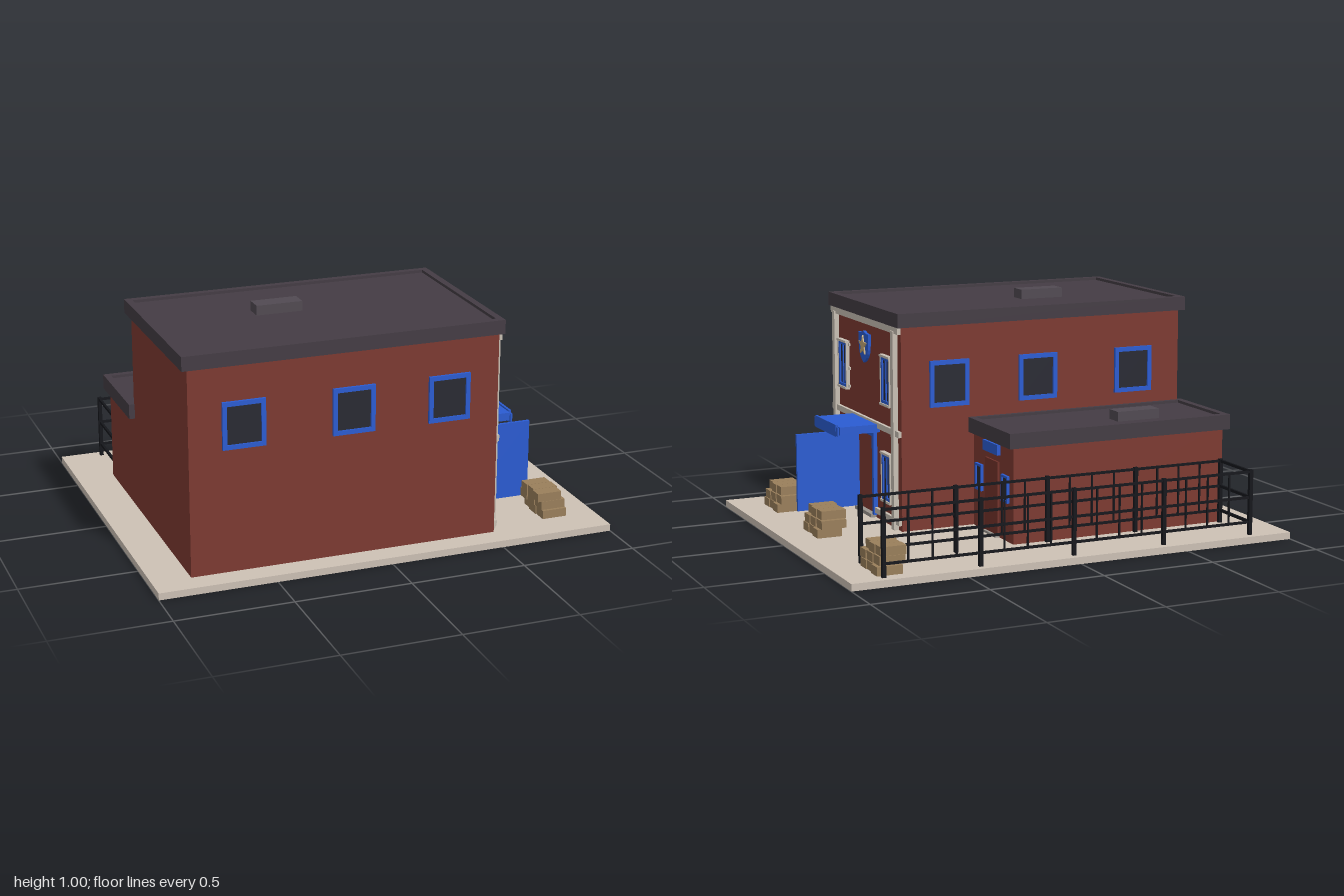
import * as THREE from 'three';

const mat = (color) => new THREE.MeshStandardMaterial({ color, flatShading: true });
const M = {
  brick: mat(0x7d3a31), door: mat(0x74332b), roof: mat(0x443c44), vent: mat(0x514a52),
  ground: mat(0xcdc1b5), trim: mat(0xc9c0b4), blue: mat(0x2b5cd2), glass: mat(0x292a33),
  metal: mat(0x15161b), crate: mat(0x9a7f5b), star: mat(0xc2a878), step: mat(0x9a948e),
};

// Box from its minimum and maximum corners
function box(parent, name, m, [x0, y0, z0], [x1, y1, z1]) {
  const mesh = new THREE.Mesh(new THREE.BoxGeometry(x1 - x0, y1 - y0, z1 - z0), m);
  mesh.position.set((x0 + x1) / 2, (y0 + y1) / 2, (z0 + z1) / 2);
  mesh.name = name;
  parent.add(mesh);
  return mesh;
}

function group(parent, name) {
  const g = new THREE.Group();
  g.name = name;
  parent.add(g);
  return g;
}

// Flat roof with a raised rim
function roof(parent, name, x0, x1, y0, y1, z0, z1) {
  const g = group(parent, name);
  const t = 0.03, lip = 0.012;
  box(g, 'roofSlab', M.roof, [x0 + t, y0, z0 + t], [x1 - t, y1 - lip, z1 - t]);
  box(g, 'rimFront', M.roof, [x0, y0, z1 - t], [x1, y1, z1]);
  box(g, 'rimBack', M.roof, [x0, y0, z0], [x1, y1, z0 + t]);
  box(g, 'rimLeft', M.roof, [x1 - t, y0, z0 + t], [x1, y1, z1 - t]);
  box(g, 'rimRight', M.roof, [x0, y0, z0 + t], [x0 + t, y1, z1 - t]);
}

// Window facing local +z, centred on its own origin
function windowUnit(parent, w, h, frame, { mullion = false, surround = false } = {}) {
  const g = group(parent, 'window');
  const a = w / 2, b = h / 2, d = 0.012;
  box(g, 'glass', M.glass, [-a + frame, -b + frame, -0.005], [a - frame, b - frame, 0.005]);
  for (const s of [-1, 1]) {
    const x = s * (a - frame / 2), y = s * (b - frame / 2);
    box(g, 'frameSide', M.blue, [x - frame / 2, -b, -0.005], [x + frame / 2, b, d]);
    box(g, 'frameRail', M.blue, [-a + frame, y - frame / 2, -0.005], [a - frame, y + frame / 2, d]);
    if (surround) {
      const ox = s * (a + 0.004), oy = s * (b + 0.005);
      box(g, 'surroundSide', M.trim, [ox - 0.004, -b, -0.005], [ox + 0.004, b, 0.014]);
      box(g, 'surroundSill', M.trim, [-a - 0.008, oy - 0.005, -0.005], [a + 0.008, oy + 0.005, 0.018]);
      // small blocks keyed into the brickwork
      for (const by of [-b, -0.02, b - 0.012])
        box(g, 'surroundBlock', M.trim, [s * (a + 0.014) - 0.007, by, -0.005], [s * (a + 0.014) + 0.007, by + 0.012, 0.004]);
    }
  }
  if (mullion) box(g, 'mullion', M.blue, [-0.005, -b + frame, 0], [0.005, b - frame, 0.01]);
  return g;
}

// Shield with a five-pointed star, facing +x
function wallBadge(parent) {
  const g = group(parent, 'wallBadge');
  const s = new THREE.Shape();
  s.moveTo(0, -0.07);
  s.quadraticCurveTo(0.056, -0.045, 0.056, 0.01);
  s.lineTo(0.06, 0.06);
  s.quadraticCurveTo(0.03, 0.057, 0, 0.07);
  s.quadraticCurveTo(-0.03, 0.057, -0.06, 0.06);
  s.lineTo(-0.056, 0.01);
  s.quadraticCurveTo(-0.056, -0.045, 0, -0.07);
  const star = new THREE.Shape();
  for (let i = 0; i < 10; i++) {
    const r = i % 2 ? 0.02 : 0.046, a = Math.PI / 2 + i * Math.PI / 5;
    star[i ? 'lineTo' : 'moveTo'](r * Math.cos(a), r * Math.sin(a) + 0.006);
  }
  const add = (name, shape, depth, m) => {
    const mesh = new THREE.Mesh(new THREE.ExtrudeGeometry(shape, { depth, bevelEnabled: false, curveSegments: 5 }), m);
    mesh.name = name;
    g.add(mesh);
  };
  add('shield', s, 0.015, M.blue);
  add('star', star, 0.021, M.star);
  g.rotation.y = Math.PI / 2;
  g.position.set(0.498, 0.775, 0.302);
}

// Three staggered layers of small blocks
function blockStack(parent, z, flip) {
  const g = group(parent, 'blockStack');
  const layers = [[0.755, -0.004, 0.064], [0.748, 0.007, 0.064], [0.738, -0.002, 0.058]];
  layers.forEach(([x, dz, w], i) => {
    const y = 0.03 + i * 0.038;
    for (let k = -1; k <= 1; k++) {
      const c = z + flip * dz + k * w, j = 0.004 * ((k + i + 3) % 3 - 1);
      box(g, 'block', M.crate, [x + j, y, c - w / 2 + 0.001], [x + 0.11 + j, y + 0.037, c + w / 2 - 0.001]);
    }
  });
}

function fence(parent) {
  const g = group(parent, 'fence');
  const x0 = -0.82, x1 = 0.85, zs = [-0.762, -0.515], rails = [0.085, 0.192, 0.303];
  for (const z of zs) {
    for (let i = 0; i <= 16; i++) {
      const x = x0 + (x1 - x0) * i / 16, post = i % 4 === 0, r = post ? 0.008 : 0.0035;
      box(g, post ? 'fencePost' : 'fenceBar', M.metal, [x - r, post ? 0.03 : 0.085, z - r], [x + r, post ? 0.312 : 0.303, z + r]);
    }
    for (const y of rails) box(g, 'fenceRail', M.metal, [x0, y - 0.005, z - 0.005], [x1, y + 0.005, z + 0.005]);
  }
  for (const y of rails) box(g, 'fenceEndRail', M.metal, [x0 - 0.005, y - 0.006, zs[0]], [x0 + 0.005, y + 0.006, zs[1]]);
}

export function createModel() {
  const model = new THREE.Group();
  model.name = 'station';
  box(model, 'groundSlab', M.ground, [-1, 0, -0.8], [1, 0.03, 0.8]);

  // Main block and annex
  box(model, 'mainWalls', M.brick, [-0.835, 0.03, -0.1], [0.5, 0.93, 0.7]);
  roof(model, 'mainRoof', -0.86, 0.52, 0.91, 0.97, -0.115, 0.715);
  box(model, 'mainVent', M.vent, [-0.4, 0.95, 0.19], [-0.2, 1.0, 0.267]);
  box(model, 'annexWalls', M.brick, [-0.835, 0.03, -0.5], [0.165, 0.46, -0.1]);
  roof(model, 'annexRoof', -0.86, 0.19, 0.44, 0.505, -0.52, -0.09);
  box(model, 'annexVent', M.vent, [-0.57, 0.485, -0.41], [-0.37, 0.535, -0.333]);

  // Windows on the long walls
  for (const x of [-0.605, -0.138, 0.28]) {
    windowUnit(model, 0.182, 0.2, 0.019).position.set(x, 0.66, 0.7);
    const back = windowUnit(model, 0.182, 0.2, 0.019);
    back.position.set(x, 0.66, -0.1);
    back.rotation.y = Math.PI;
  }

  // Entrance wall: pilasters, bands and windows
  const wall = group(model, 'entranceWall');
  for (const z of [0.653, -0.047]) box(wall, 'pilaster', M.trim, [0.495, 0.03, z - 0.015], [0.522, 0.89, z + 0.015]);
  box(wall, 'cornice', M.trim, [0.495, 0.88, -0.098], [0.516, 0.91, 0.698]);
  box(wall, 'middleBand', M.trim, [0.495, 0.438, -0.098], [0.514, 0.464, 0.698]);
  for (const [a, b] of [[-0.098, 0.185], [0.415, 0.698]])
    box(wall, 'baseBand', M.trim, [0.495, 0.055, a], [0.514, 0.08, b]);
  for (const z of [0.56, 0.048]) for (const y of [0.662, 0.238]) {
    const w = windowUnit(wall, 0.09, 0.2, 0.012, { mullion: true, surround: true });
    w.position.set(0.503, y, z);
    w.rotation.y = Math.PI / 2;
  }
  wallBadge(wall);

  // Entrance with canopy and open door
  const entrance = group(model, 'entrance');
  box(entrance, 'canopy', M.blue, [0.5, 0.42, 0.148], [0.685, 0.455, 0.443]);
  box(entrance, 'signBoard', M.blue, [0.683, 0.412, 0.158], [0.692, 0.452, 0.45]);
  box(entrance, 'signBoardCentre', M.blue, [0.683, 0.41, 0.175], [0.694, 0.462, 0.43]);
  for (const z of [0.41, 0.192]) box(entrance, 'doorJamb', M.blue, [0.495, 0.045, z - 0.01], [0.518, 0.42, z + 0.01]);
  box(entrance, 'doorHead', M.blue, [0.495, 0.395, 0.182], [0.518, 0.42, 0.42]);
  box(entrance, 'openDoor', M.blue, [0.515, 0.045, 0.388], [0.798, 0.39, 0.402]);
  box(entrance, 'doorStep', M.step, [0.495, 0.03, 0.2], [0.525, 0.046, 0.4]);

  // Annex door, sign and windows
  const annex = group(model, 'annexFront');
  box(annex, 'annexDoor', M.door, [0.16, 0.04, -0.361], [0.173, 0.355, -0.235]);
  box(annex, 'annexStep', M.step, [0.16, 0.03, -0.361], [0.185, 0.04, -0.235]);
  box(annex, 'annexSign', M.blue, [0.16, 0.385, -0.371], [0.18, 0.43, -0.226]);
  for (const z of [-0.168, -0.43]) {
    const w = windowUnit(annex, 0.066, 0.115, 0.01);
    w.position.set(0.165, 0.255, z);
    w.rotation.y = Math.PI / 2;
  }

  fence(model);
  blockStack(model, 0.55, -1);
  blockStack(model, 0.03, -1);
  blockStack(model, -0.64, 1);
  return model;
}
